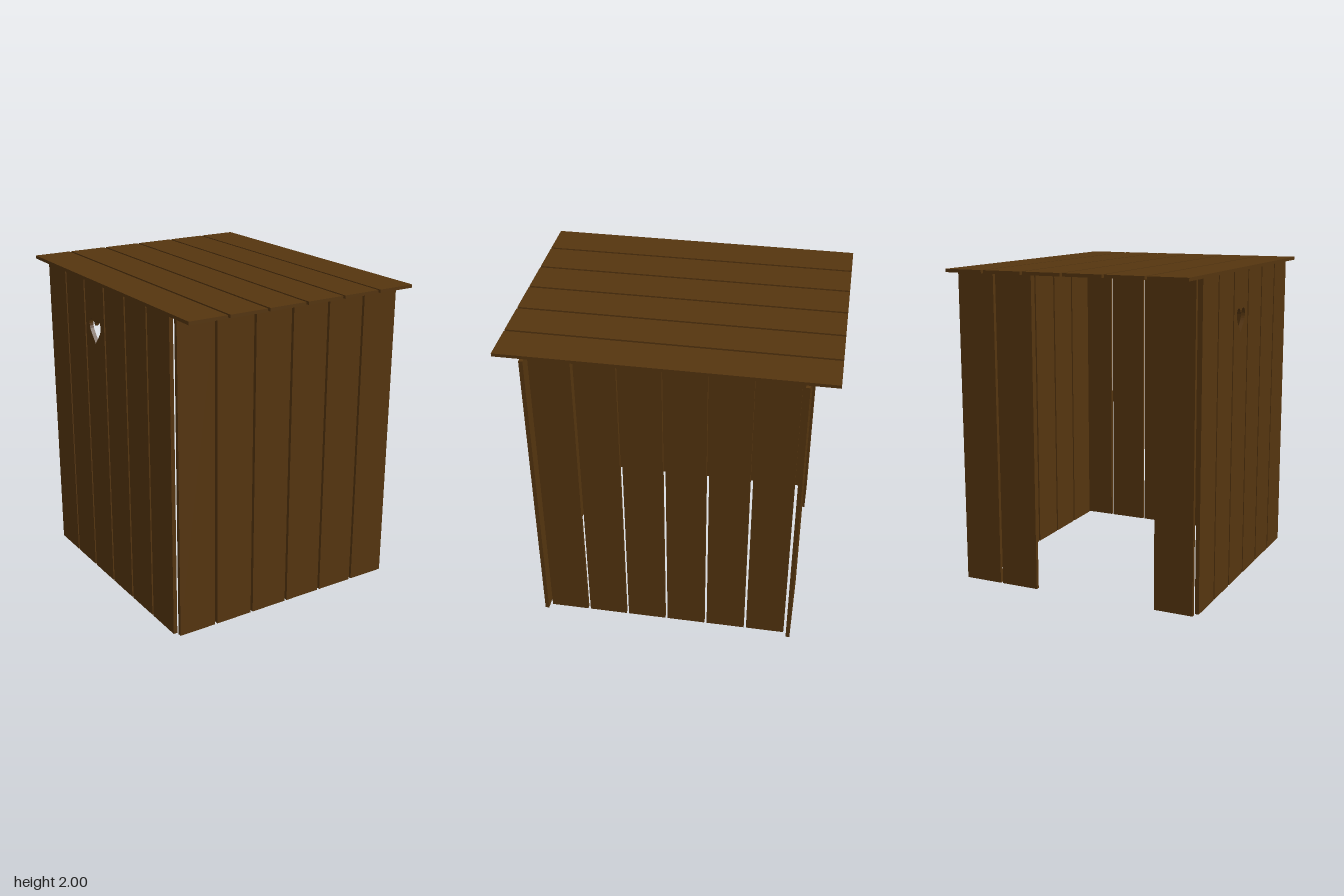
import * as THREE from 'three';

const T = 0.025;       // wall board thickness
const W = 0.247;       // board width
const PITCH = 0.263;   // board width plus gap
const WALL_H = 1.98;
const COUNT = 6;

export function createModel() {
  const wood = new THREE.MeshStandardMaterial({ color: 0x55350f });
  wood.name = 'darkWood';
  const shed = new THREE.Group();
  shed.name = 'shed';

  const group = (name) => {
    const g = new THREE.Group();
    g.name = name;
    shed.add(g);
    return g;
  };
  const board = (parent, name, w, h, d, x, y, z) => {
    const m = new THREE.Mesh(new THREE.BoxGeometry(w, h, d), wood);
    m.name = name;
    m.position.set(x, y, z);
    parent.add(m);
  };
  // centre of board i along a row of six
  const along = (i, middle) => middle + (i - (COUNT - 1) / 2) * PITCH;

  // front wall is closed; back wall leaves three boards out as the doorway
  const front = group('frontWall');
  const back = group('backWall');
  for (let i = 0; i < COUNT; i++) {
    const x = along(i, 0.01);
    board(front, 'frontBoard', W, WALL_H, T, x, WALL_H / 2, 0.812);
    if (i === 0 || i > 3) board(back, 'backBoard', W, WALL_H, T, x, WALL_H / 2, -0.81);
  }

  // side walls; the third board from the back on the -x side has a heart window
  const sideA = group('rightWall');
  const sideB = group('leftWall');
  for (let i = 0; i < COUNT; i++) {
    const z = along(i, 0.002);
    board(sideB, 'leftBoard', T, WALL_H, W, 0.742, WALL_H / 2, z);
    if (i !== 2) {
      board(sideA, 'rightBoard', T, WALL_H, W, -0.782, WALL_H / 2, z);
      continue;
    }
    const s = new THREE.Shape();
    s.moveTo(-W / 2, 0);
    s.lineTo(W / 2, 0);
    s.lineTo(W / 2, WALL_H);
    s.lineTo(-W / 2, WALL_H);
    s.closePath();
    const heart = new THREE.Path();
    heart.moveTo(0, 1.6);
    heart.bezierCurveTo(-0.03, 1.64, -0.075, 1.67, -0.075, 1.715);
    heart.bezierCurveTo(-0.075, 1.765, -0.01, 1.765, 0, 1.715);
    heart.bezierCurveTo(0.01, 1.765, 0.075, 1.765, 0.075, 1.715);
    heart.bezierCurveTo(0.075, 1.67, 0.03, 1.64, 0, 1.6);
    s.holes.push(heart);
    const geo = new THREE.ExtrudeGeometry(s, { depth: T, bevelEnabled: false, curveSegments: 8 });
    geo.rotateY(-Math.PI / 2);
    const m = new THREE.Mesh(geo, wood);
    m.name = 'heartWindowBoard';
    m.position.set(-0.7695, 0, z);
    sideA.add(m);
  }

  // flat roof boards running front to back
  const roof = group('roof');
  for (let i = 0; i < COUNT; i++) {
    board(roof, 'roofBoard', W, 0.02, 1.98, along(i, -0.014), 1.99, 0);
  }
  return shed;
}
